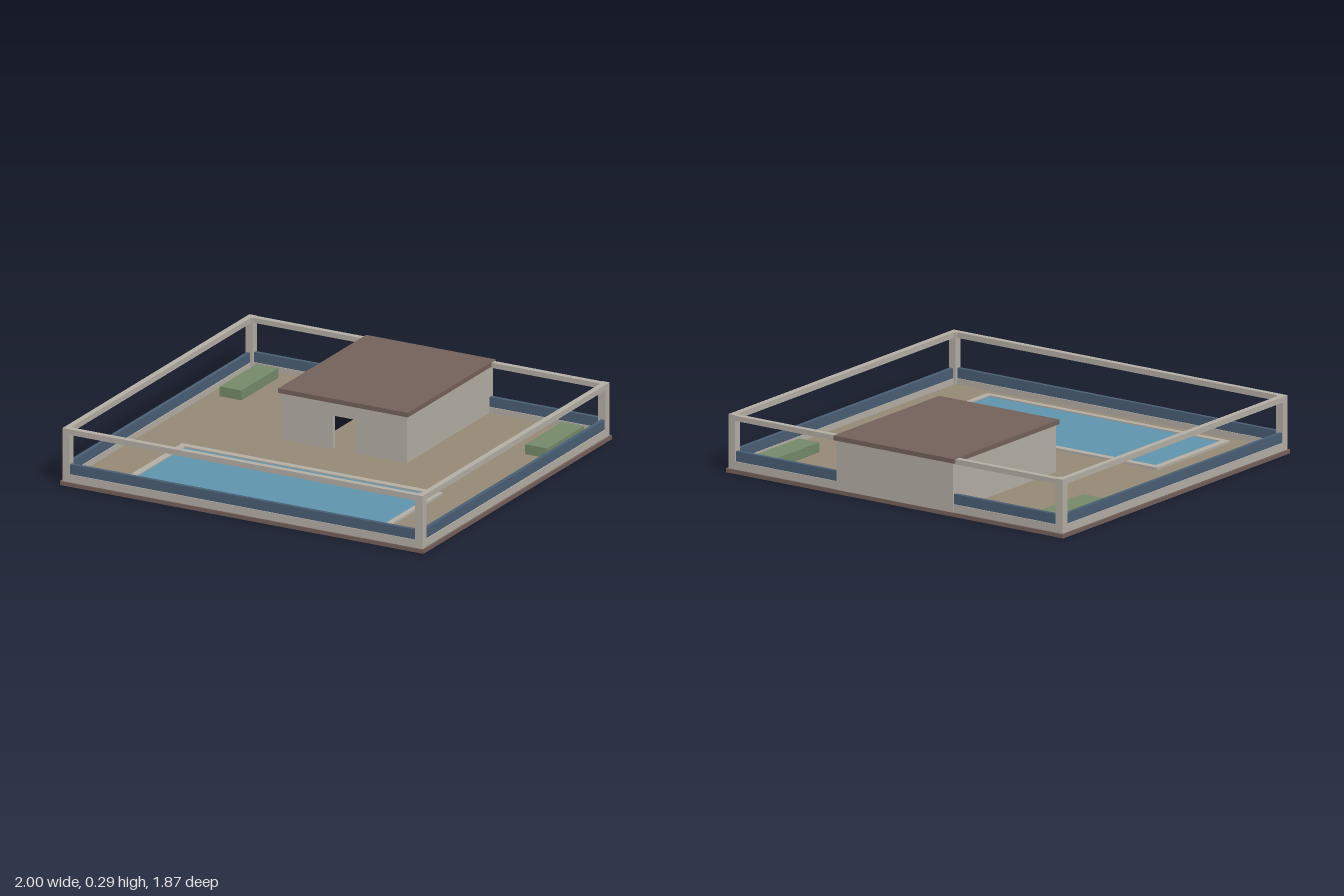
import * as THREE from 'three';

const material = (name, color) => {
  const m = new THREE.MeshStandardMaterial({ color });
  m.name = name;
  return m;
};

export function createModel() {
  const model = new THREE.Group();
  model.name = 'poolCourtyard';

  const stone = material('paleStone', 0xb5afa5);
  const brown = material('roofBrown', 0x75615b);
  const tan = material('paving', 0x968977);
  const water = material('water', 0x5f95ad);
  const green = material('hedgeGreen', 0x768b6a);
  const blue = material('panelBlue', 0x4a5f75);

  const add = (name, geometry, mat) => {
    const mesh = new THREE.Mesh(geometry, mat);
    mesh.name = name;
    model.add(mesh);
    return mesh;
  };

  // Box given by its limits on each axis
  const box = (name, mat, x0, x1, y0, y1, z0, z1) => {
    const mesh = add(name, new THREE.BoxGeometry(x1 - x0, y1 - y0, z1 - z0), mat);
    mesh.position.set((x0 + x1) / 2, (y0 + y1) / 2, (z0 + z1) / 2);
    return mesh;
  };

  // Flat plate with rectangular holes; rectangles are [x0, x1, z0, z1]
  const trace = (path, [x0, x1, z0, z1]) => {
    path.moveTo(x0, -z1);
    path.lineTo(x1, -z1);
    path.lineTo(x1, -z0);
    path.lineTo(x0, -z0);
    path.closePath();
    return path;
  };
  const plate = (name, mat, outline, holes, y0, y1) => {
    const shape = trace(new THREE.Shape(), outline);
    holes.forEach((h) => shape.holes.push(trace(new THREE.Path(), h)));
    const geometry = new THREE.ExtrudeGeometry(shape, { depth: y1 - y0, bevelEnabled: false });
    geometry.rotateX(-Math.PI / 2);
    geometry.translate(0, y0, 0);
    return add(name, geometry, mat);
  };

  // Ground: foundation with two openings under the house, plinth edge, paving
  const openings = [[0.1, 0.31, -0.87, -0.68], [-0.33, -0.18, -0.87, -0.29]];
  const inner = [-0.99, 0.99, -0.92, 0.925];
  plate('foundation', stone, inner, openings, 0, 0.024);
  plate('plinthEdge', brown, [-1, 1, -0.928, 0.932], [inner], 0, 0.02);
  plate('paving', tan, [-0.97, 0.97, -0.9, 0.905], openings, 0.024, 0.03);

  // Pool: raised kerb around the water
  const basin = [-0.685, 0.685, 0.265, 0.795];
  plate('poolKerb', stone, [-0.72, 0.715, 0.23, 0.825], [basin], 0.03, 0.042);
  box('poolWater', water, -0.685, 0.685, 0.03, 0.036, 0.265, 0.795);

  // Hedges and fence sides, mirrored left and right
  for (const s of [-1, 1]) {
    const side = (name, mat, a, b, ...rest) =>
      box(name, mat, Math.min(s * a, s * b), Math.max(s * a, s * b), ...rest);
    side('hedge', green, 0.78, 0.9, 0.03, 0.08, -0.83, -0.465);
    side('backPost', stone, 0.95, 0.99, 0.02, 0.29, -0.92, -0.88);
    side('frontPost', stone, 0.95, 0.99, 0.02, 0.29, 0.885, 0.925);
    side('sideCurb', stone, 0.96, 0.99, 0.02, 0.06, -0.88, 0.885);
    side('sidePanel', blue, 0.965, 0.985, 0.06, 0.11, -0.88, 0.885);
    side('sideRail', stone, 0.96, 0.99, 0.262, 0.29, -0.88, 0.885);
    // Back fence stops at the house
    side('backCurb', stone, 0.345, 0.95, 0.02, 0.06, -0.92, -0.89);
    side('backPanel', blue, 0.345, 0.95, 0.06, 0.11, -0.915, -0.895);
    side('backRail', stone, 0.345, 0.95, 0.262, 0.288, -0.92, -0.89);
    // House side walls and the front wall beside the doorway
    side('houseSideWall', stone, 0.325, 0.345, 0.02, 0.268, -0.925, -0.08);
    side('houseFrontWall', stone, 0.062, 0.325, 0.02, 0.268, -0.1, -0.08);
  }

  // Front fence
  box('frontCurb', stone, -0.95, 0.95, 0.02, 0.06, 0.895, 0.925);
  box('frontPanel', blue, -0.95, 0.95, 0.06, 0.11, 0.9, 0.92);
  box('frontRail', stone, -0.95, 0.95, 0.262, 0.29, 0.895, 0.925);

  // House: back wall, lintel over the doorway, flat roof
  box('houseBackWall', stone, -0.325, 0.325, 0.02, 0.268, -0.925, -0.905);
  box('doorLintel', stone, -0.062, 0.062, 0.2, 0.268, -0.1, -0.08);
  box('roof', brown, -0.357, 0.357, 0.268, 0.291, -0.935, -0.068);

  return model;
}
